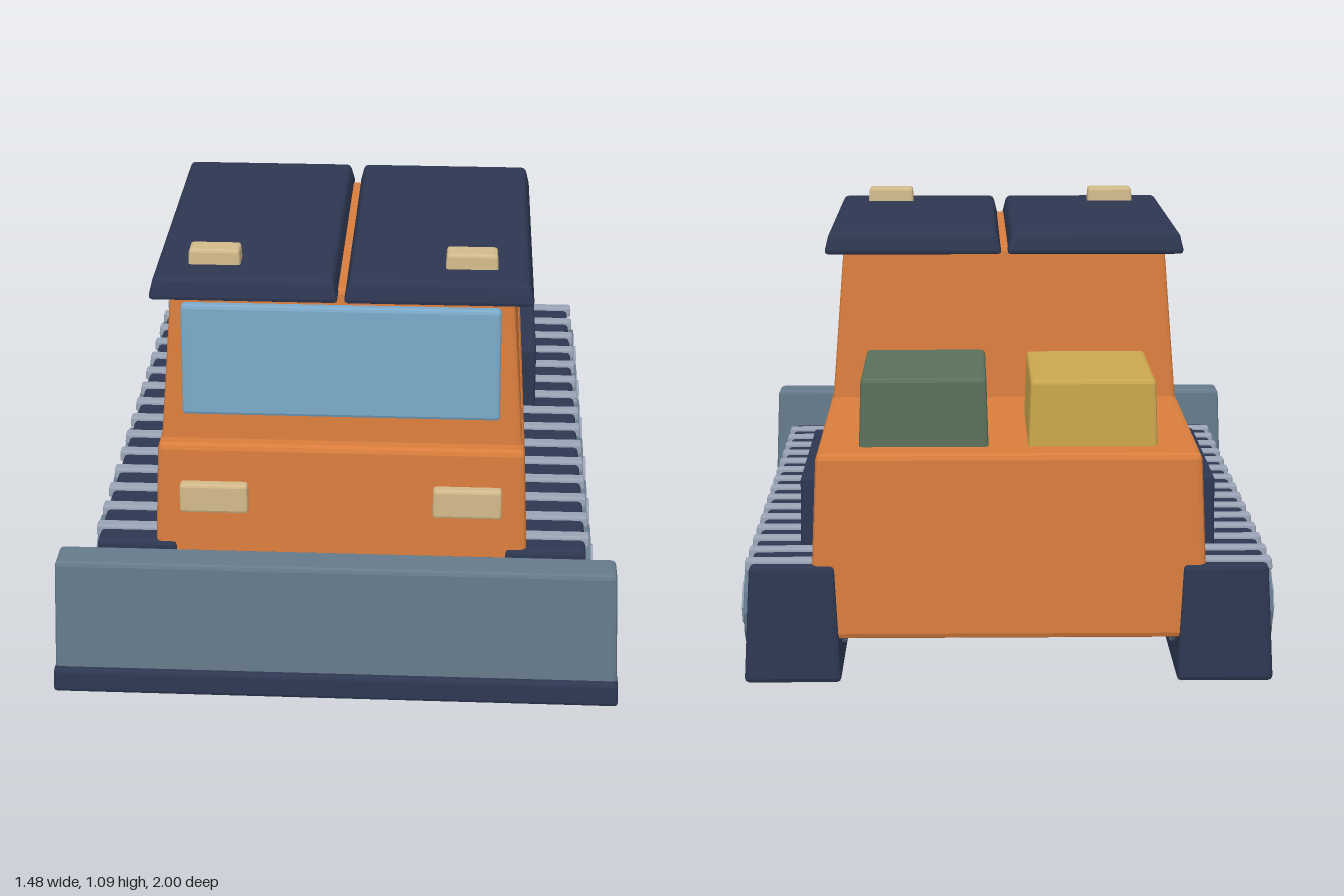
import * as THREE from 'three';
import { RoundedBoxGeometry } from 'three/addons/geometries/RoundedBoxGeometry.js';

const paint = (name, color) => {
  const m = new THREE.MeshStandardMaterial({ color });
  m.name = name;
  return m;
};

// Chamfered box given by its limits at the base; the top is drawn in by `taper` on every side.
function block(x0, x1, y0, y1, z0, z1, taper = 0, bevel = 0.01) {
  const w = x1 - x0, h = y1 - y0, d = z1 - z0;
  const g = new RoundedBoxGeometry(w, h, d, 1, bevel);
  const p = g.attributes.position;
  for (let i = 0; i < p.count; i++) {
    const t = (p.getY(i) + h / 2) / h;
    p.setX(i, p.getX(i) * (1 - (2 * taper * t) / w));
    p.setZ(i, p.getZ(i) * (1 - (2 * taper * t) / d));
  }
  g.translate((x0 + x1) / 2, (y0 + y1) / 2, (z0 + z1) / 2);
  g.computeVertexNormals();
  return g;
}

// Faceted disc lying along the x axis
function disc(radius, width, sides) {
  const g = new THREE.CylinderGeometry(radius, radius, width, sides).toNonIndexed();
  g.rotateZ(Math.PI / 2);
  g.computeVertexNormals();
  return g;
}

export function createModel() {
  const model = new THREE.Group();
  model.name = 'bulldozer';
  const orange = paint('orange', 0xd97d3c);
  const navy = paint('navy', 0x2d3751);
  const slate = paint('slate', 0x667a8b);
  const steel = paint('light steel', 0x9aa4b5);
  const glass = paint('glass blue', 0x7baaca);
  const cream = paint('lamp cream', 0xd2ba8a);
  const green = paint('crate green', 0x5a715b);
  const yellow = paint('crate yellow', 0xcba74e);

  const add = (name, geometry, material, parent = model) => {
    const mesh = new THREE.Mesh(geometry, material);
    mesh.name = name;
    parent.add(mesh);
    return mesh;
  };

  // Hull, cab and windscreen
  add('hull', block(-0.505, 0.505, 0.11, 0.585, -0.985, 0.705, 0.02, 0.015), orange);
  add('cab', block(-0.48, 0.48, 0.57, 1.005, -0.243, 0.643, 0.033, 0.012), orange);
  add('windscreen', block(-0.417, 0.417, 0.67, 0.982, 0.642, 0.68, 0.003), glass);

  // Crates on the rear deck
  add('greenCrate', block(0.05, 0.38, 0.57, 0.76, -0.878, -0.448, 0.006), green);
  add('yellowCrate', block(-0.38, -0.05, 0.57, 0.755, -0.878, -0.448, 0.006), yellow);

  // Blade with its cutting edge
  add('blade', block(-0.735, 0.735, 0.06, 0.38, 0.862, 0.98, 0.012, 0.012), slate);
  add('cuttingEdge', block(-0.74, 0.74, 0.008, 0.075, 0.86, 1.0, 0.003, 0.01), navy);

  for (const side of [1, -1]) {
    const label = side > 0 ? 'left' : 'right';
    // Limits measured outward from the centre line
    const sided = (a, b, ...rest) => side > 0 ? block(a, b, ...rest) : block(-b, -a, ...rest);

    add(label + 'RoofPanel', sided(0.006, 0.5, 0.988, 1.05, -0.253, 0.667, 0.015, 0.012), navy);
    add(label + 'RoofLamp', sided(0.267, 0.405, 1.04, 1.09, 0.492, 0.563, 0.003, 0.008), cream);
    add(label + 'Headlamp', sided(0.245, 0.428, 0.398, 0.481, 0.68, 0.717, 0.001, 0.008), cream);
    add(label + 'SidePanel', sided(0.48, 0.537, 0.26, 0.485, -0.79, -0.195, 0.002, 0.008), navy);

    // Crawler track
    const track = new THREE.Group();
    track.name = label + 'Track';
    model.add(track);
    add('trackBody', sided(0.425, 0.67, 0, 0.302, -1.0, 0.718, 0.015, 0.012), navy, track);
    for (let i = 0; i < 15; i++) {
      const z = -0.938 + i * 0.1115;
      add('trackPad', sided(0.435, 0.668, 0.28, 0.312, z - 0.02, z + 0.02, 0.002, 0.006), steel, track);
    }
    for (let i = 0; i < 6; i++) {
      const z = 0.515 - i * 0.2675;
      add('wheel', disc(0.107, 0.255, 12), slate, track).position.set(side * 0.5475, 0.163, z);
      add('hub', disc(0.056, 0.275, 8), steel, track).position.set(side * 0.5475, 0.163, z);
    }
  }
  return model;
}
